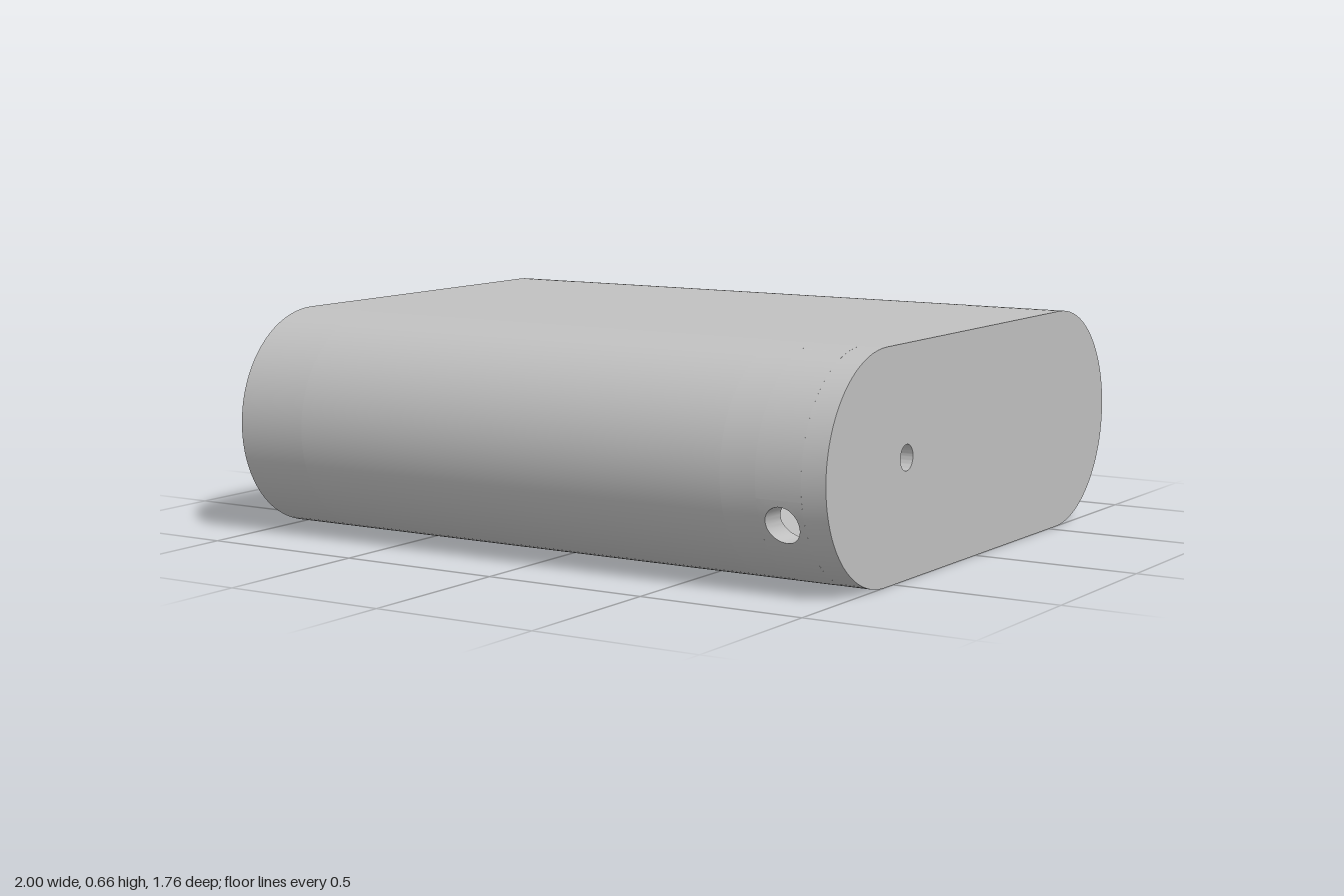
import * as THREE from 'three';
import { toCreasedNormals } from 'three/addons/utils/BufferGeometryUtils.js';

const CY = 0.33, CZ = 0.55;        // centres of the rounded sides
const RO = 0.33, RI = 0.255;       // outer and inner radius of the wall
const END = 0.925;                 // inner face of the closed end
const HOLE = { x: 0.855, y: 0.205, r: 0.052, half: 0.07 };

const angle = (y, r) => Math.asin((y - CY) / r);

function arc(cx, r, a0, a1, n = 40) {
  return Array.from({ length: n + 1 }, (_, i) => {
    const a = a0 + (a1 - a0) * i / n;
    return new THREE.Vector2(cx + r * Math.cos(a), CY + r * Math.sin(a));
  });
}

// Outline starting above y1 on one round side and ending below y0 on it
function outline(r, y0 = CY, y1 = CY) {
  return [
    ...arc(CZ, r, angle(y1, r), Math.PI / 2),
    ...arc(-CZ, r, Math.PI / 2, Math.PI * 1.5),
    ...arc(CZ, r, -Math.PI / 2, angle(y0, r)),
  ];
}

function closedOutline(r) {
  return [...arc(CZ, r, -Math.PI / 2, Math.PI / 2), ...arc(-CZ, r, Math.PI / 2, Math.PI * 1.5)];
}

function ringShape() {
  const shape = new THREE.Shape(closedOutline(RO));
  shape.holes.push(new THREE.Path(closedOutline(RI)));
  return shape;
}

// Ring with a gap between y0 and y1; side 1 is the back, -1 the front
function gapShape(side, y0, y1) {
  const pts = [...outline(RO, y0, y1), ...outline(RI, y0, y1).reverse()];
  return new THREE.Shape(pts.map(p => new THREE.Vector2(p.x * side, p.y)));
}

function extrudeX(shape, x0, x1) {
  const g = new THREE.ExtrudeGeometry(shape, { depth: x1 - x0, bevelEnabled: false, curveSegments: 32 });
  g.rotateY(Math.PI / 2);
  g.translate(x0, 0, 0);
  return toCreasedNormals(g, 0.5);
}

// Curved wall patch pierced by a round hole, lofted from square to circle and back
function piercedPatch() {
  const n = 48, pos = [], idx = [];
  const rings = [[0, RO], [0.33, RO], [0.66, RO], [1, RO], [1, RI], [0.66, RI], [0.33, RI], [0, RI]];
  for (const [t, r] of rings) {
    for (let i = 0; i < n; i++) {
      const a = i / n * Math.PI * 2, c = Math.cos(a), s = Math.sin(a);
      const square = HOLE.half / Math.max(Math.abs(c), Math.abs(s));
      const d = square + (HOLE.r - square) * t;
      const y = HOLE.y + d * s;
      pos.push(HOLE.x + d * c, y, CZ + Math.sqrt(r * r - (y - CY) ** 2));
    }
  }
  for (let j = 0; j < rings.length - 1; j++) {
    for (let i = 0; i < n; i++) {
      const k = (i + 1) % n, a = j * n + i, b = j * n + k;
      idx.push(a, b, b + n, a, b + n, a + n);
    }
  }
  const g = new THREE.BufferGeometry();
  g.setAttribute('position', new THREE.Float32BufferAttribute(pos, 3));
  g.setIndex(idx);
  return toCreasedNormals(g, 0.5);
}

export function createModel() {
  const group = new THREE.Group();
  group.name = 'sleeveCase';
  const grey = new THREE.MeshStandardMaterial({ color: 0xc0c0c0 });
  grey.name = 'grey';
  const add = (name, geometry) => {
    const mesh = new THREE.Mesh(geometry, grey);
    mesh.name = name;
    group.add(mesh);
  };

  // Wall sections from the open end to the closed end
  const x0 = -0.77, x1 = 0.675, x2 = HOLE.x - HOLE.half;
  add('openEndWall', extrudeX(ringShape(), -1, x0));
  add('slottedWall', extrudeX(gapShape(1, CY - 0.078, CY + 0.078), x0, x1));
  add('middleWall', extrudeX(ringShape(), x1, x2));
  add('innerEndWall', extrudeX(gapShape(-1, HOLE.y - HOLE.half, HOLE.y + HOLE.half), x2, END));
  add('frontHolePatch', piercedPatch());

  // Closed end with its small round hole
  const cap = new THREE.Shape(closedOutline(RO));
  cap.holes.push(new THREE.Path().absarc(-0.43, 0.343, 0.037, 0, Math.PI * 2, true));
  add('closedEnd', extrudeX(cap, END, 1));

  return group;
}
